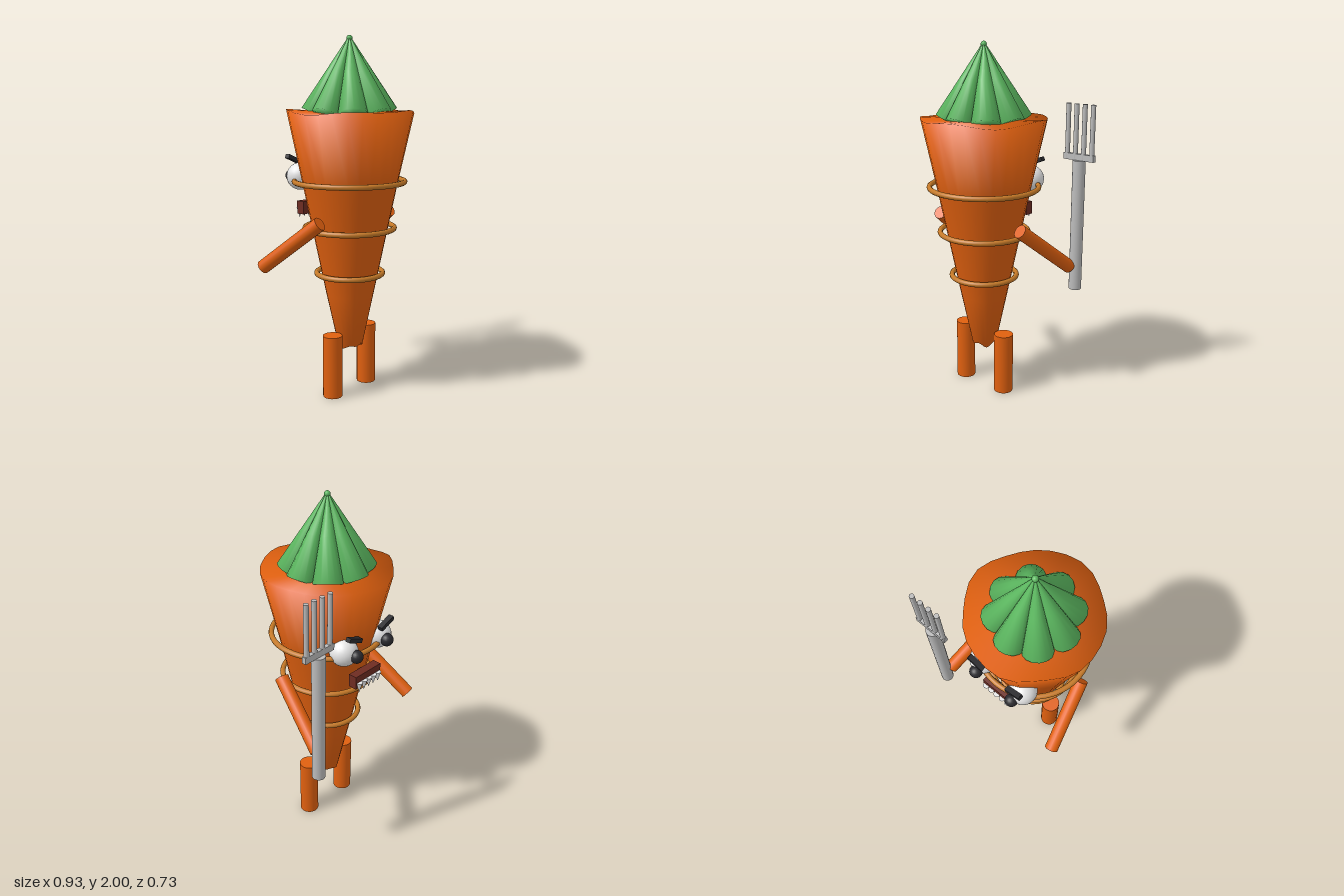
import * as THREE from 'three';

const CX = -0.04; // axis of the body
const mat = (name, color) => {
  const m = new THREE.MeshStandardMaterial({ color });
  m.name = name;
  return m;
};
const V = (x, y, z) => new THREE.Vector3(x, y, z);

export function createModel() {
  const orange = mat('carrot orange', 0xe0600f);
  const ochre = mat('ring ochre', 0xc67a28);
  const green = mat('leaf green', 0x5cb860);
  const silver = mat('fork silver', 0xbcbcbc);
  const white = mat('eye white', 0xeeeeee);
  const dark = mat('pupil dark', 0x2a2a2e);
  const maroon = mat('mouth maroon', 0x6e2c22);

  const model = new THREE.Group();
  const add = (name, geo, material, x = 0, y = 0, z = 0, parent = model) => {
    const m = new THREE.Mesh(geo, material);
    m.name = name;
    m.position.set(x, y, z);
    parent.add(m);
    return m;
  };
  const group = (name) => {
    const g = new THREE.Group();
    g.name = name;
    model.add(g);
    return g;
  };
  // cylinder running between two points
  const rod = (name, a, b, r, material, parent = model) => {
    const m = add(name, new THREE.CylinderGeometry(r, r, a.distanceTo(b), 20), material, 0, 0, 0, parent);
    m.position.copy(a).add(b).multiplyScalar(0.5);
    m.quaternion.setFromUnitVectors(V(0, 1, 0), b.clone().sub(a).normalize());
    return m;
  };

  // tapered body with soft edges and a slightly uneven rim
  const profile = [[0, 0.27], [0.072, 0.27], [0.137, 0.57], [0.202, 0.88], [0.267, 1.19], [0.356, 1.592], [0, 1.585]];
  const body = new THREE.LatheGeometry(profile.map(([r, y]) => new THREE.Vector2(r, y)), 28);
  const p = body.attributes.position;
  for (let i = 0; i < p.count; i++) {
    const x = p.getX(i), z = p.getZ(i), r = Math.hypot(x, z);
    if (r < 0.01) continue;
    const a = Math.atan2(x, z);
    const k = 1 + 0.018 * Math.cos(4 * a) + 0.012 * Math.cos(7 * a + 1);
    const wave = 0.008 * Math.sin(5 * a) + 0.008 * Math.cos(3 * a + 0.5);
    p.setXYZ(i, x * k, p.getY(i) + (r > 0.3 || r < 0.08 ? wave : 0), z * k);
  }
  add('body', body, orange, CX);

  // rings standing a little off the body
  for (const [y, r] of [[1.21, 0.306], [0.95, 0.25], [0.69, 0.186]]) {
    add('bodyRing', new THREE.TorusGeometry(r, 0.015, 10, 48), ochre, CX, y).rotation.x = Math.PI / 2;
  }

  // leaf crown: eight slim cones sharing one tip
  const crown = group('leafCrown');
  crown.position.set(CX, 2, 0);
  const leafGeo = new THREE.LatheGeometry(
    [[0, -0.46], [0.081, -0.46], [0.04, -0.228], [0, 0]].map(([r, y]) => new THREE.Vector2(r, y)), 14);
  for (let i = 0; i < 8; i++) {
    const turn = new THREE.Group();
    turn.name = 'leafMount';
    turn.rotation.y = (i * Math.PI) / 4;
    crown.add(turn);
    add('leaf', leafGeo, green, 0, 0, 0, turn).rotation.x = -0.42;
  }
  add('leafTip', new THREE.SphereGeometry(0.017, 12, 8), green, 0, -0.017, 0, crown);

  // paired parts: legs, arms, eyes and brows
  for (const s of [-1, 1]) {
    const side = s > 0 ? 'left' : 'right';
    rod(side + 'Leg', V(CX + s * 0.15, 0, 0), V(CX + s * 0.15, 0.355, 0), 0.055, orange);
    rod(side + 'Arm', V(CX + s * 0.302, 1.015, 0.05), V(CX + s * 0.386, 0.745, -0.3), 0.039, orange);
    add(side + 'Eye', new THREE.SphereGeometry(0.077, 24, 16), white, CX + s * 0.134, 1.232, -0.25);
    add(side + 'Pupil', new THREE.SphereGeometry(0.036, 16, 12), dark, CX + s * 0.122, 1.23, -0.328);
    add(side + 'Brow', new THREE.BoxGeometry(0.1, 0.024, 0.03), dark, CX + s * 0.126, 1.325, -0.312)
      .rotation.z = s * 0.38;
  }

  // mouth with a row of pointed teeth
  add('mouth', new THREE.BoxGeometry(0.2, 0.075, 0.05), maroon, CX, 1.045, -0.285);
  for (let i = -2; i <= 2; i++) {
    add('tooth', new THREE.ConeGeometry(0.018, 0.06, 12), white, CX + i * 0.038, 1.012, -0.314).rotation.x = Math.PI;
  }

  // fork held upright
  const fork = group('fork');
  fork.position.set(0.368, 0, -0.332);
  rod('forkHandle', V(0, 0.61, 0), V(0, 1.362, 0), 0.036, silver, fork);
  add('forkBar', new THREE.BoxGeometry(0.196, 0.036, 0.024), silver, 0, 1.379, 0, fork);
  for (let i = 0; i < 4; i++) {
    const x = -0.08 + i * 0.0535;
    rod('forkTine', V(x, 1.37, 0), V(x, 1.67, 0), 0.0135, silver, fork);
  }
  return model;
}
